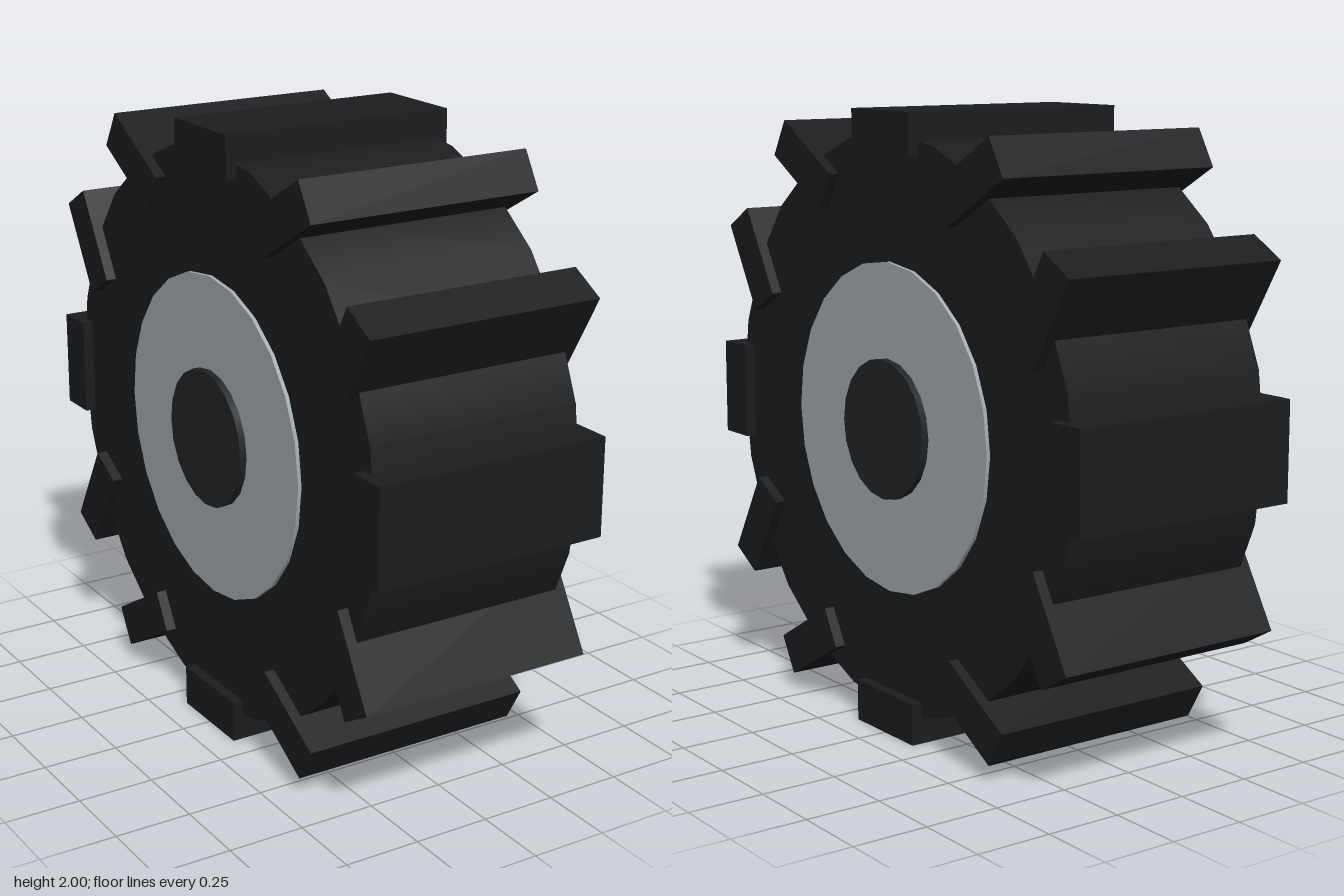
import * as THREE from 'three';

const RUBBER = 0x1b1d1f, METAL = 0xa3abb1, CAP = 0x212427;

export function createModel() {
  const model = new THREE.Group();
  model.name = 'wheel';
  const wheel = new THREE.Group();
  wheel.name = 'wheelAssembly';
  wheel.position.y = 1;
  model.add(wheel);

  const rubber = new THREE.MeshStandardMaterial({ color: RUBBER });

  // Solid cylinder lying along the x axis, with a corner at the top
  const disc = (name, radius, width, sides, material) => {
    const geometry = new THREE.CylinderGeometry(radius, radius, width, sides);
    geometry.rotateZ(Math.PI / 2);
    const mesh = new THREE.Mesh(geometry, material);
    mesh.name = name;
    wheel.add(mesh);
  };

  // Tyre, rim and axle cap, each slightly wider than the last
  disc('tyre', 0.93, 0.73, 24, rubber);
  disc('rim', 0.53, 0.755, 24, new THREE.MeshStandardMaterial({ color: METAL }));
  disc('axleCap', 0.225, 0.8, 20, new THREE.MeshStandardMaterial({ color: CAP }));

  // Twelve tread lugs, turned against their position around the tyre
  const lugGeometry = new THREE.BoxGeometry(0.8, 0.136, 0.32);
  for (let i = 0; i < 12; i++) {
    const angle = (i / 12) * Math.PI * 2;
    const lug = new THREE.Mesh(lugGeometry, rubber);
    lug.name = 'treadLug' + (i + 1);
    lug.position.set(0, Math.cos(angle) * 0.932, Math.sin(angle) * 0.932);
    lug.rotation.x = -angle;
    wheel.add(lug);
  }
  return model;
}
